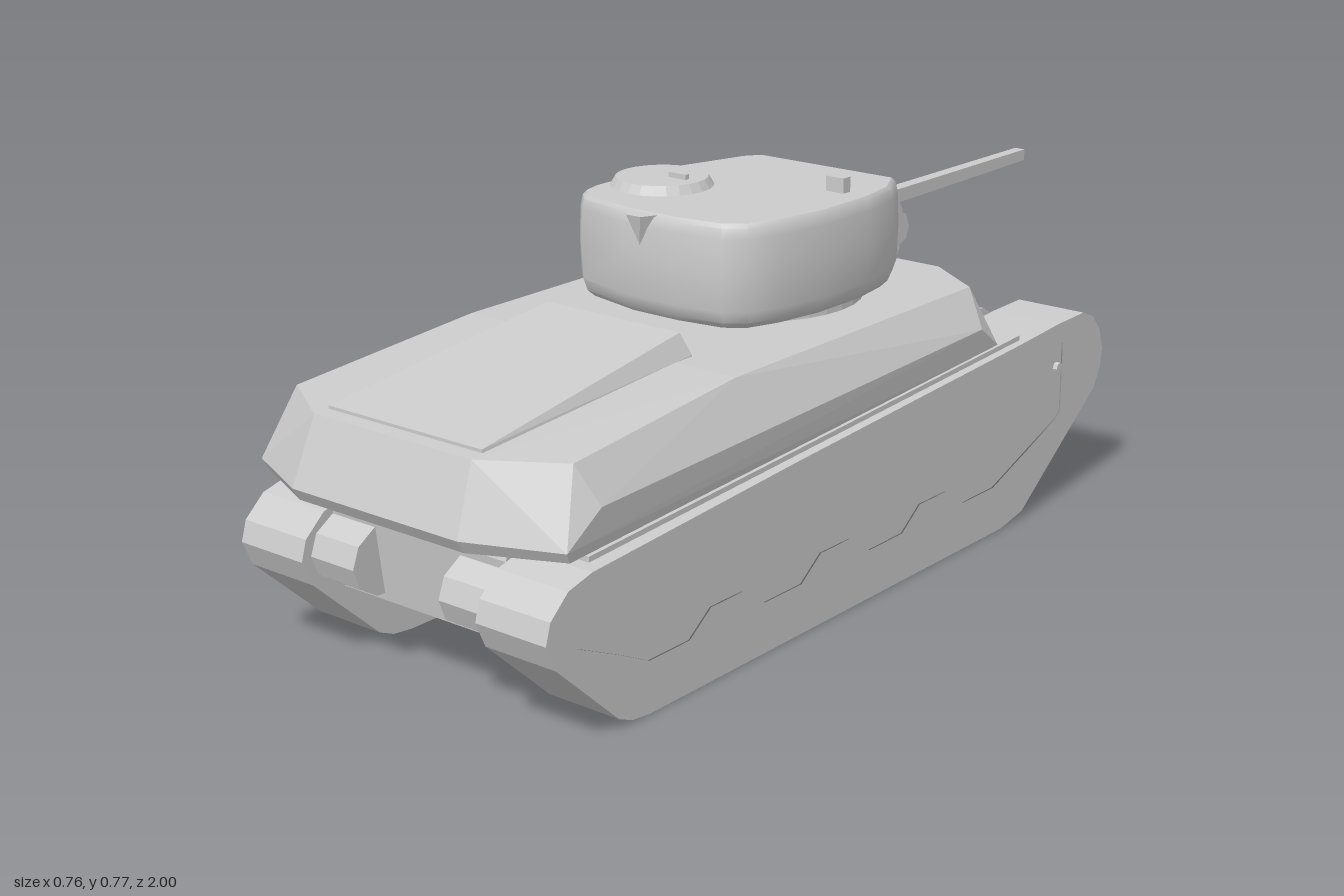
import * as THREE from 'three';
import { mergeVertices, toCreasedNormals } from 'three/addons/utils/BufferGeometryUtils.js';
import { ConvexGeometry } from 'three/addons/geometries/ConvexGeometry.js';

const flat = new THREE.MeshStandardMaterial({ color: 0xcccccc, flatShading: true });
const smooth = new THREE.MeshStandardMaterial({ color: 0xcccccc });

const V = (x, y, z) => new THREE.Vector3(x, y, z);

function add(parent, name, geometry, x = 0, y = 0, z = 0, material = flat) {
  const mesh = new THREE.Mesh(geometry, material);
  mesh.name = name;
  mesh.position.set(x, y, z);
  parent.add(mesh);
  return mesh;
}

// side profile of [z, y] points, extruded across x and centred on x = 0
function sideExtrude(points, width, hole) {
  const shape = new THREE.Shape(points.map(p => new THREE.Vector2(...p)));
  if (hole) shape.holes.push(new THREE.Path(hole.map(p => new THREE.Vector2(...p))));
  const g = new THREE.ExtrudeGeometry(shape, { depth: width, bevelEnabled: false });
  return g.translate(0, 0, -width / 2).rotateY(-Math.PI / 2);
}

// closed solid from equal-length rings, counter-clockwise from above, bottom to top
function loft(rings) {
  const n = rings[0].length, pos = [], idx = [];
  rings.forEach(r => r.forEach(p => pos.push(p.x, p.y, p.z)));
  for (let k = 0; k < rings.length - 1; k++) {
    for (let i = 0; i < n; i++) {
      const a = k * n + i, b = k * n + (i + 1) % n;
      idx.push(a, b, b + n, a, b + n, a + n);
    }
  }
  const top = (rings.length - 1) * n;
  for (let i = 1; i < n - 1; i++) idx.push(0, i + 1, i, top, top + i, top + i + 1);
  const g = new THREE.BufferGeometry();
  g.setAttribute('position', new THREE.Float32BufferAttribute(pos, 3));
  g.setIndex(idx);
  return toCreasedNormals(mergeVertices(g), 0.6);
}

const mirrorPoints = pts => pts.flatMap(([x, y, z]) => [V(x, y, z), V(-x, y, z)]);

// wavy lower edge of the running gear panel
function panelOutline() {
  const pts = [[0.93, 0.25], [0.935, 0.22], [0.9, 0.185], [0.8, 0.14]];
  for (let z = 0.72; z > -0.4; z -= 0.325) {
    pts.push([z, 0.1], [z - 0.11, 0.1], [z - 0.17, 0.143], [z - 0.26, 0.143]);
  }
  pts.pop();
  pts.pop();
  pts.push([-0.6, 0.185], [-0.62, 0.2], [-0.62, 0.35], [-0.5, 0.365], [0.6, 0.31], [0.86, 0.29]);
  return pts;
}

function createTracks() {
  const tracks = new THREE.Group();
  tracks.name = 'tracks';
  const belt = [
    [0.72, 0], [-0.4, 0], [-0.48, 0.015], [-0.755, 0.215], [-0.78, 0.26], [-0.785, 0.3],
    [-0.77, 0.345], [-0.74, 0.38], [-0.7, 0.397], [-0.6, 0.395], [-0.45, 0.385], [0.3, 0.345], [0.86, 0.31],
    [0.92, 0.295], [0.965, 0.255], [0.977, 0.215], [0.955, 0.165], [0.8, 0.02], [0.765, 0.005],
  ];
  const panel = panelOutline();
  for (const s of [1, -1]) {
    const side = new THREE.Group();
    side.name = s > 0 ? 'leftTrack' : 'rightTrack';
    add(side, 'trackBelt', sideExtrude(belt, 0.16, panel), s * 0.293);
    add(side, 'wheelPanel', sideExtrude(panel, 0.154), s * 0.293);
    // thin sloping fender between track and hull
    add(side, 'fender', sideExtrude([[0.86, 0.325], [0.86, 0.335], [-0.46, 0.402], [-0.46, 0.392]], 0.155), s * 0.2875);
    tracks.add(side);
  }
  return tracks;
}

function createHull() {
  const hull = new THREE.Group();
  hull.name = 'hull';

  // lower tub with rounded nose and sloping glacis
  add(hull, 'lowerHull', sideExtrude([
    [0.86, 0.4], [0.9, 0.3], [0.88, 0.14], [-0.44, 0.14], [-0.53, 0.155], [-0.59, 0.2], [-0.625, 0.26],
    [-0.635, 0.31], [-0.625, 0.355], [-0.59, 0.385], [-0.53, 0.405], [-0.4, 0.525], [0, 0.525], [0.4, 0.45],
  ], 0.426));
  for (const s of [1, -1]) {
    add(hull, 'noseFlange', sideExtrude([
      [-0.45, 0.16], [-0.56, 0.16], [-0.62, 0.24], [-0.645, 0.31], [-0.62, 0.375], [-0.56, 0.41], [-0.45, 0.42],
    ], 0.014), s * 0.206);
    // rear drive housings
    add(hull, 'driveHousing', sideExtrude([
      [0.8, 0.285], [0.9, 0.285], [0.94, 0.26], [0.955, 0.22], [0.94, 0.18], [0.9, 0.155], [0.8, 0.155],
    ], 0.108), s * 0.159);
  }
  add(hull, 'frontAxle', new THREE.CylinderGeometry(0.012, 0.012, 0.76, 8).rotateZ(Math.PI / 2), 0, 0.3, -0.6);

  // faceted upper hull with bevelled corners
  add(hull, 'upperHull', new ConvexGeometry(mirrorPoints([
    [0.368, 0.34, 0.91], [0.2, 0.34, 0.985], [0.372, 0.36, 0.92], [0.2, 0.365, 1.0],
    [0.378, 0.42, 0.84], [0.377, 0.455, -0.3], [0.37, 0.405, -0.37], [0.2, 0.418, -0.47],
    [0.335, 0.492, 0.86], [0.19, 0.492, 0.95], [0.325, 0.527, 0.42],
    [0.325, 0.527, -0.33], [0.19, 0.527, -0.42],
  ])));

  // raised engine deck
  add(hull, 'engineDeck', new ConvexGeometry(mirrorPoints([
    [0.19, 0.48, 0.92], [0.185, 0.5, 0.92], [0.192, 0.5, 0.372], [0.185, 0.53, 0.372], [0.163, 0.57, 0.38],
  ])));

  // driver's hood on the front plate
  const hood = new THREE.Group();
  hood.name = 'driverHood';
  add(hood, 'hoodBody', sideExtrude([
    [-0.34, 0.44], [-0.475, 0.44], [-0.475, 0.49], [-0.44, 0.53], [-0.35, 0.535],
  ], 0.08), -0.15);
  add(hood, 'hoodStep', sideExtrude([
    [-0.38, 0.44], [-0.47, 0.44], [-0.465, 0.48], [-0.43, 0.525], [-0.38, 0.53],
  ], 0.07), -0.085);
  hull.add(hood);
  return hull;
}

function createTurret() {
  const turret = new THREE.Group();
  turret.name = 'turret';
  add(turret, 'turretRing', new THREE.CylinderGeometry(0.222, 0.222, 0.03, 32), 0, 0.535, -0.04);

  // cast shell: rounded outline, counter-clockwise from above
  const outline = [
    [0.242, 0.04], [0.244, -0.1], [0.228, -0.2], [0.19, -0.272], [-0.155, -0.272], [-0.178, -0.24],
    [-0.23, -0.07], [-0.246, 0.02], [-0.247, 0.16], [-0.236, 0.205], [-0.205, 0.235], [-0.07, 0.265],
    [0.05, 0.265], [0.155, 0.25], [0.195, 0.22], [0.222, 0.15],
  ];
  const ring = (y, k) => outline.map(([x, z]) => V(x * k, y, z * k));
  add(turret, 'turretShell', loft([
    ring(0.54, 0.92), ring(0.552, 0.965), ring(0.575, 0.99), ring(0.65, 1), ring(0.715, 0.99),
    ring(0.735, 0.975), ring(0.743, 0.95),
  ]), 0, 0, 0, smooth);

  // small cast lug on the back edge
  add(turret, 'rearLug', new ConvexGeometry([
    V(-0.075, 0.742, 0.2), V(0.01, 0.742, 0.2), V(-0.07, 0.74, 0.255), V(0.005, 0.74, 0.255),
    V(-0.05, 0.738, 0.28), V(-0.015, 0.738, 0.28), V(-0.03, 0.68, 0.265), V(-0.03, 0.68, 0.2),
  ]));

  // commander's hatch
  const hatch = new THREE.Group();
  hatch.name = 'hatch';
  add(hatch, 'hatchLid', new THREE.CylinderGeometry(0.092, 0.105, 0.022, 24), -0.14, 0.75, 0.068);
  add(hatch, 'hatchHandle', new THREE.BoxGeometry(0.044, 0.014, 0.01), -0.1, 0.764, 0.065);
  turret.add(hatch);
  add(turret, 'periscope', new THREE.BoxGeometry(0.042, 0.04, 0.022), 0.165, 0.753, -0.1);

  // mantlet, its end bosses and the gun
  const gun = new THREE.Group();
  gun.name = 'gun';
  add(gun, 'mantlet', new THREE.CylinderGeometry(0.06, 0.06, 0.27, 14).rotateZ(Math.PI / 2), 0.013, 0.635, -0.29);
  for (const x of [-0.135, 0.165]) {
    add(gun, 'mantletBoss', new THREE.CylinderGeometry(0.036, 0.036, 0.04, 8).rotateZ(Math.PI / 2), x, 0.635, -0.28);
    add(gun, 'mantletCheek', sideExtrude([
      [-0.2, 0.56], [-0.275, 0.56], [-0.3, 0.59], [-0.285, 0.64], [-0.3, 0.68], [-0.27, 0.715], [-0.2, 0.715],
    ], 0.02), x);
  }
  const barrel = new THREE.CylinderGeometry(0.0175, 0.0215, 0.68, 4).rotateY(Math.PI / 4).rotateX(-Math.PI / 2);
  add(gun, 'barrel', barrel, 0.015, 0.636, -0.66);
  turret.add(gun);
  return turret;
}

export function createModel() {
  const model = new THREE.Group();
  model.name = 'tank';
  model.add(createTracks(), createHull(), createTurret());
  return model;
}
